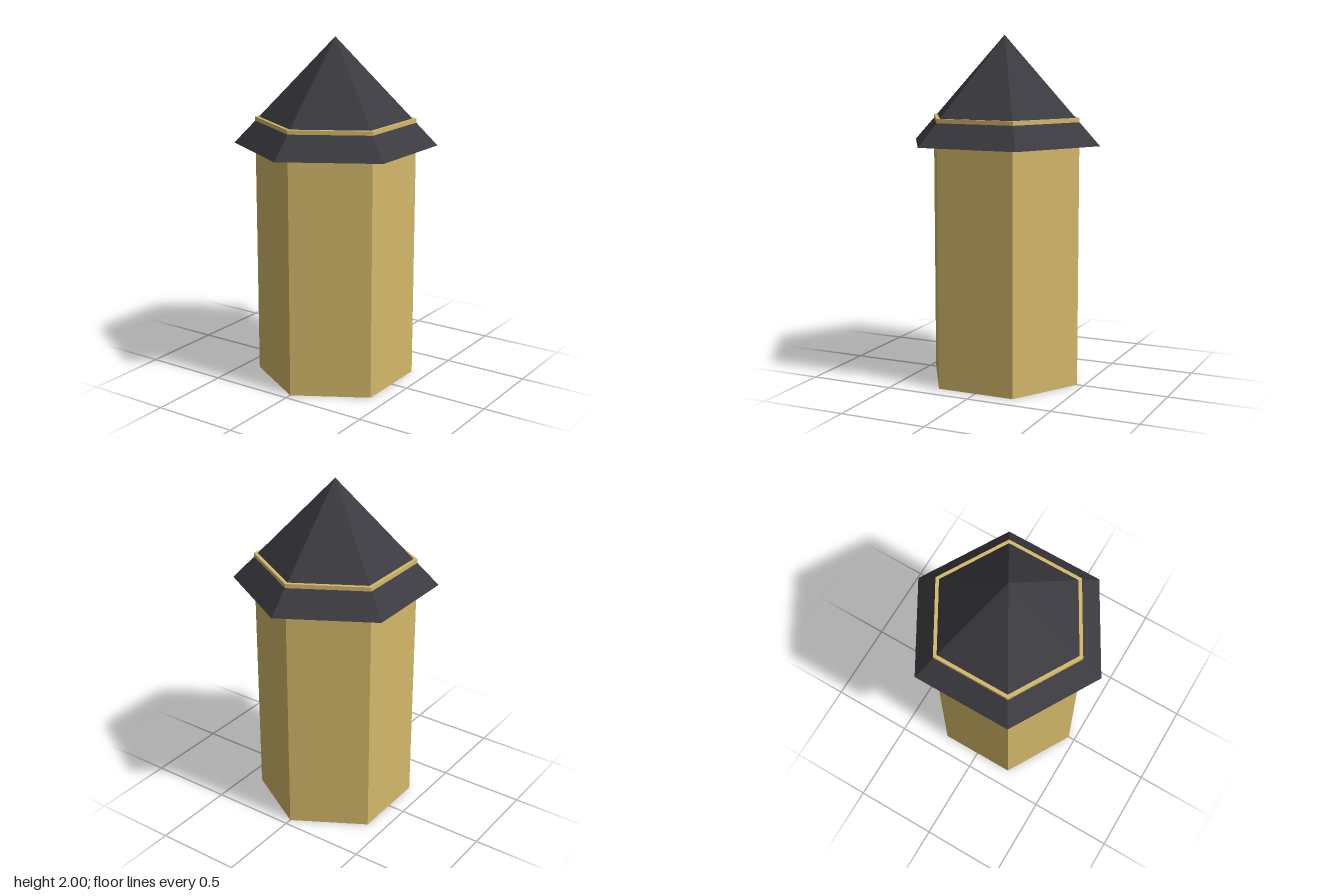
import * as THREE from 'three';

const SIDES = 6;
const BODY_RADIUS = 0.46, BODY_HEIGHT = 1.54;
const ROOF_RADIUS = 0.583, EAVES = 1.387, PEAK = 2;

export function createModel() {
  const model = new THREE.Group();
  model.name = 'hexagonalTower';

  const sand = new THREE.MeshStandardMaterial({ color: 0xd4b96a, flatShading: true });
  sand.name = 'sand';
  const slate = new THREE.MeshStandardMaterial({ color: 0x3a3a40, flatShading: true });
  slate.name = 'slate';

  // Hexagonal body; its top rim pokes through the roof as a thin band
  const body = new THREE.Mesh(
    new THREE.CylinderGeometry(BODY_RADIUS, BODY_RADIUS, BODY_HEIGHT, SIDES), sand);
  body.name = 'body';
  body.position.y = BODY_HEIGHT / 2;

  // Pyramid roof with overhanging eaves
  const roof = new THREE.Mesh(
    new THREE.ConeGeometry(ROOF_RADIUS, PEAK - EAVES, SIDES), slate);
  roof.name = 'roof';
  roof.position.y = (EAVES + PEAK) / 2;

  model.add(body, roof);
  return model;
}
